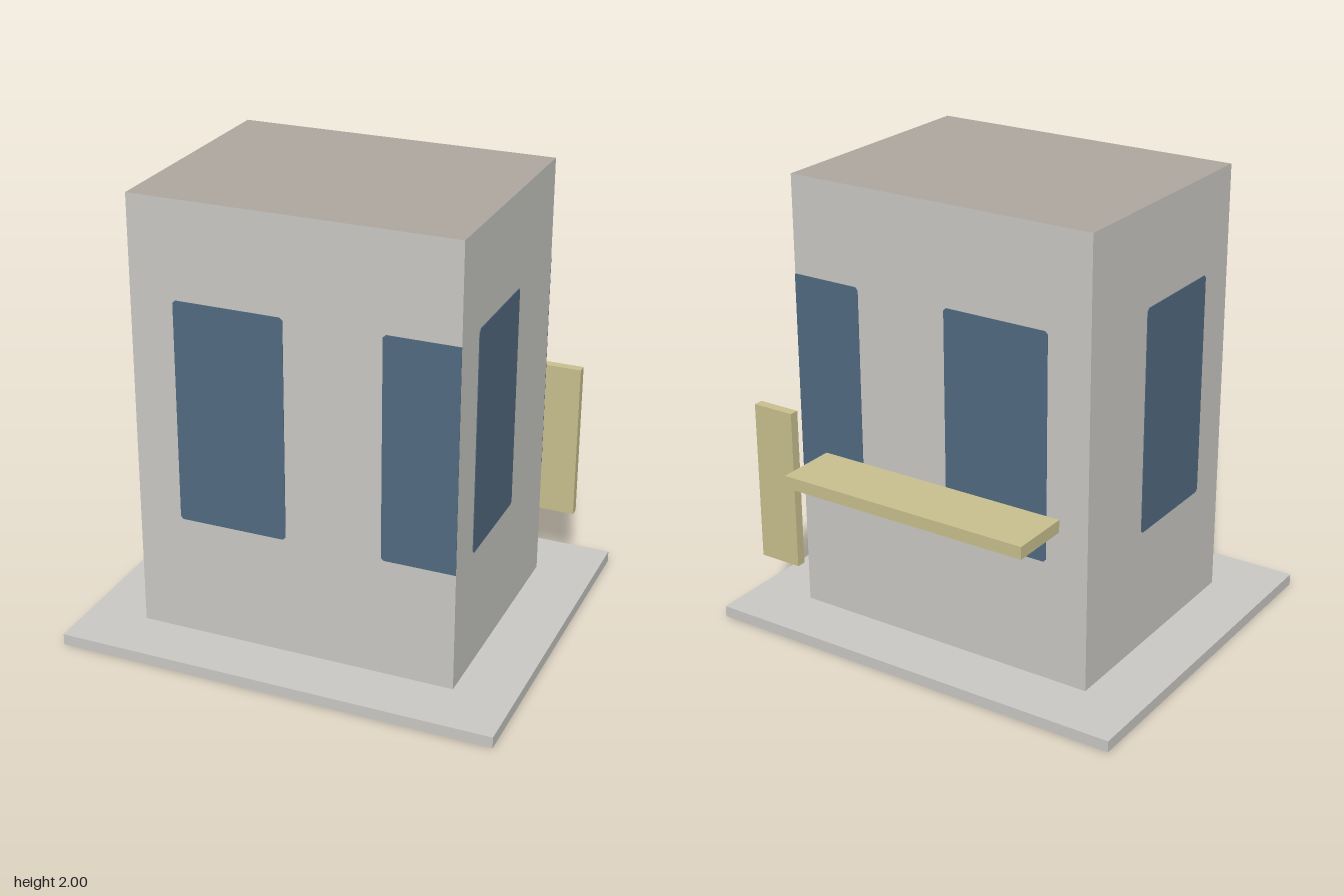
import * as THREE from 'three';

function material(name, color) {
  const m = new THREE.MeshStandardMaterial({ color });
  m.name = name;
  return m;
}

export function createModel() {
  const model = new THREE.Group();
  model.name = 'kiosk';
  const wall = material('concrete grey', 0xc9c8c4);
  const roof = material('roof taupe', 0xaea79f);
  const glass = material('window blue', 0x526a80);
  const wood = material('pale wood', 0xc8c08e);

  // Box given by its limits on each axis
  function block(name, mat, [x0, x1], [y0, y1], [z0, z1]) {
    const mesh = new THREE.Mesh(new THREE.BoxGeometry(x1 - x0, y1 - y0, z1 - z0), mat);
    mesh.position.set((x0 + x1) / 2, (y0 + y1) / 2, (z0 + z1) / 2);
    mesh.name = name;
    model.add(mesh);
    return mesh;
  }

  const W = 0.713, BACK = -0.54, FRONT = 0.565;
  block('baseSlab', wall, [-0.977, 0.977], [0, 0.05], [-0.805, 0.825]);
  // The top face of the body carries the roof colour
  block('body', [wall, wall, roof, wall, wall, wall], [-W, W], [0.05, 2], [BACK, FRONT]);

  // Thin pane with small cut corners; an end meeting a wall edge stays square
  const T = 0.003, Y0 = 0.585, Y1 = 1.573;
  function pane(name, a, b, cutA = 0.012, cutB = 0.012) {
    const s = new THREE.Shape();
    s.moveTo(a + cutA, Y0);
    s.lineTo(b - cutB, Y0);
    if (cutB) s.lineTo(b, Y0 + cutB);
    s.lineTo(b, Y1 - cutB);
    if (cutB) s.lineTo(b - cutB, Y1);
    s.lineTo(a + cutA, Y1);
    if (cutA) s.lineTo(a, Y1 - cutA);
    s.lineTo(a, Y0 + cutA);
    s.closePath();
    const mesh = new THREE.Mesh(new THREE.ExtrudeGeometry(s, { depth: T, bevelEnabled: false }), glass);
    mesh.name = name;
    model.add(mesh);
    return mesh;
  }

  // Front and back windows, at the same x on both walls
  for (const [side, z] of [['front', FRONT], ['back', BACK - T]]) {
    pane(side + 'RightWindow', -0.52, -0.035).position.z = z;
    pane(side + 'CornerWindow', 0.39, W, 0.012, 0).position.z = z;
  }

  // Side windows
  for (const [side, x] of [['left', W], ['right', -W - T]]) {
    const p = pane(side + 'SideWindow', -0.372, 0.113);
    p.rotation.y = Math.PI / 2;
    p.position.x = x;
  }

  // Counter shelf behind the back wall and upright board beside it
  block('counterShelf', wood, [-0.585, 0.58], [0.74, 0.795], [-0.825, -0.548]);
  block('uprightBoard', wood, [0.645, 0.84], [0.295, 1.01], [-0.692, -0.65]);

  return model;
}
